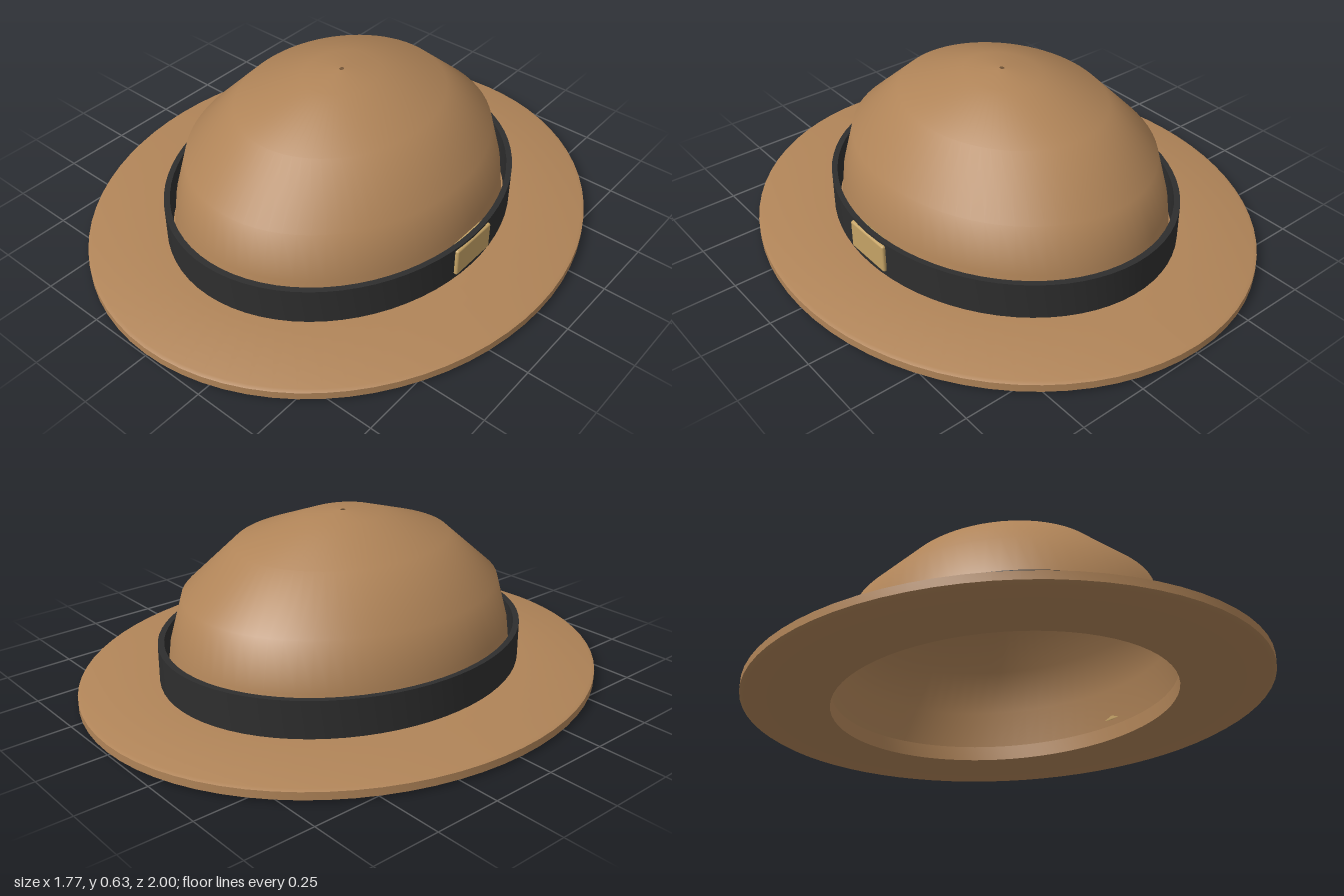
import * as THREE from 'three';
import { toCreasedNormals } from 'three/addons/utils/BufferGeometryUtils.js';
import { RoundedBoxGeometry } from 'three/addons/geometries/RoundedBoxGeometry.js';

const felt = new THREE.MeshStandardMaterial({ name: 'brown felt', color: 0xb08458, side: THREE.DoubleSide });
const ribbon = new THREE.MeshStandardMaterial({ name: 'black ribbon', color: 0x2e2e2e });
const brass = new THREE.MeshStandardMaterial({ name: 'dull brass', color: 0xc4a265 });

// Oval lathe: profile of [x radius, y], with z stretched by a rule on the radius
function ovalLathe(name, profile, material, stretch, crease) {
  let geo = new THREE.LatheGeometry(profile.map(([r, y]) => new THREE.Vector2(r, y)), 72);
  const p = geo.attributes.position;
  for (let i = 0; i < p.count; i++) {
    const r = Math.hypot(p.getX(i), p.getZ(i));
    p.setZ(i, p.getZ(i) * stretch(r));
  }
  if (crease) {
    geo = toCreasedNormals(geo, crease);
  } else {
    // keep the seam smooth by scaling the lathe's own normals
    const n = geo.attributes.normal, v = new THREE.Vector3();
    for (let i = 0; i < n.count; i++) {
      v.fromBufferAttribute(n, i);
      v.z /= stretch(0);
      v.normalize();
      n.setXYZ(i, v.x, v.y, v.z);
    }
  }
  const mesh = new THREE.Mesh(geo, material);
  mesh.name = name;
  return mesh;
}

export function createModel() {
  const hat = new THREE.Group();
  hat.name = 'hat';

  // Brim: flat ring, rounder towards its outer edge
  const brimStretch = r => THREE.MathUtils.mapLinear(r, 0.57, 0.885, 1.19, 1.13);
  hat.add(ovalLathe('brim', [
    [0.57, 0], [0.868, 0], [0.885, 0.01], [0.885, 0.038], [0.872, 0.043], [0.6, 0.056], [0.57, 0.056], [0.57, 0],
  ], felt, brimStretch, 0.7));

  // Crown: open dome with a pinhole at the top
  hat.add(ovalLathe('crown', [
    [0.572, 0.04], [0.555, 0.195], [0.515, 0.36], [0.35, 0.53], [0.13, 0.615], [0.008, 0.628],
  ], felt, () => 1.195));

  // Ribbon band standing just clear of the crown
  hat.add(ovalLathe('band', [
    [0.58, 0.05], [0.6, 0.05], [0.6, 0.193], [0.58, 0.193], [0.58, 0.05],
  ], ribbon, () => 1.183, 0.7));

  // Buckle on the left side of the band
  const buckle = new THREE.Mesh(new RoundedBoxGeometry(0.04, 0.11, 0.2, 2, 0.008), brass);
  buckle.name = 'buckle';
  buckle.position.set(0.586, 0.13, 0);
  hat.add(buckle);

  return hat;
}
